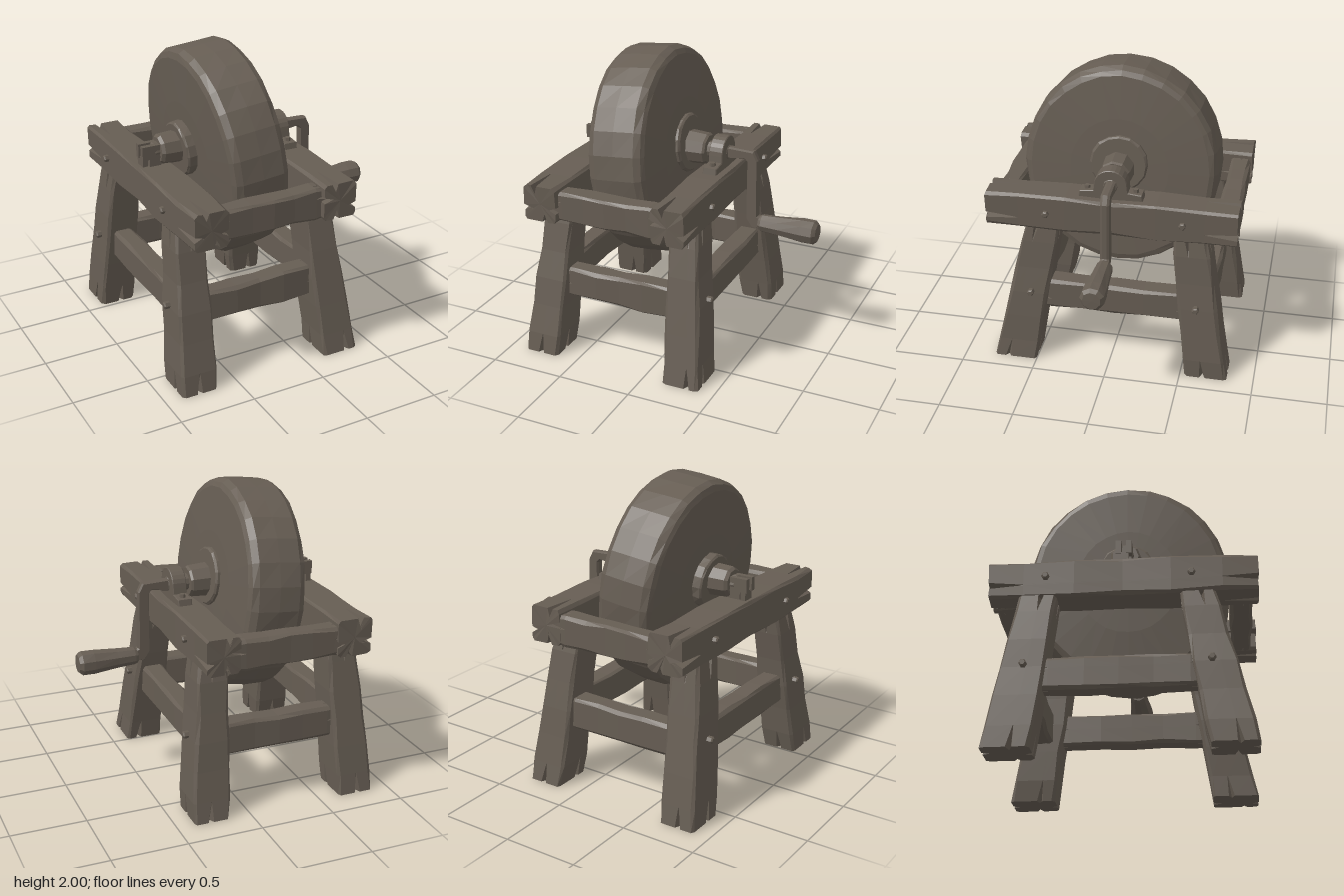
import * as THREE from 'three';

let seed = 7;
const rand = () => {
  seed = (seed * 16807) % 2147483647;
  return seed / 2147483647;
};
const jitter = (a) => (rand() * 2 - 1) * a;
const lerp = THREE.MathUtils.lerp;

// Faceted copy of a geometry
function flat(geo) {
  const g = geo.index ? geo.toNonIndexed() : geo;
  g.computeVertexNormals();
  return g;
}

// Hewn beam along an axis (0 x, 1 y, 2 z) with worn corners and split ends.
// p, q: end centres; sp, sq: [u, v] half sizes there, u and v being the next two axes in order.
function beamGeometry(axis, p, q, sp, sq, crack = 0.04, bevel = 0.018) {
  const rings = [0, 0.13, 0.32, 0.5, 0.68, 0.87, 1];
  const kU = (axis + 1) % 3, kV = (axis + 2) % 3;
  const offsets = [0, 1, 2, 3].map(() => jitter(0.4));
  const pos = [], index = [];
  const push = (t, u, v) => {
    const c = [];
    c[axis] = t; c[kU] = u; c[kV] = v;
    pos.push(...c);
  };
  const n = 20;
  for (const t of rings) {
    const end = t === 0 || t === 1;
    const hu = lerp(sp[0], sq[0], t) + jitter(0.006) - (end ? 0.004 : 0);
    const hv = lerp(sp[1], sq[1], t) + jitter(0.006) - (end ? 0.004 : 0);
    const cu = lerp(p[kU], q[kU], t), cv = lerp(p[kV], q[kV], t);
    for (let f = 0; f < 4; f++) {
      // each face in turn: corner, crack lip, crack floor, crack lip, corner
      const side = f % 2 ? hv : hu, half = f % 2 ? hu : hv;
      const b = bevel * (0.6 + 0.8 * rand());
      const depth = end ? crack * (0.5 + rand()) : 0;
      const w = end ? crack * 0.35 : 0.004, o = offsets[f] * half;
      const c = Math.round(Math.cos(f * Math.PI / 2)), s = Math.round(Math.sin(f * Math.PI / 2));
      for (const [d, e] of [[side, b - half], [side, o - w], [side - depth, o], [side, o + w], [side, half - b]])
        push(lerp(p[axis], q[axis], t) + (end && axis !== 1 ? jitter(0.006) : 0), cu + d * c - e * s, cv + d * s + e * c);
    }
  }
  for (let r = 0; r < rings.length - 1; r++)
    for (let j = 0; j < n; j++) {
      const a = r * n + j, b = r * n + (j + 1) % n;
      index.push(a, b, b + n, a, b + n, a + n);
    }
  const last = (rings.length - 1) * n, c0 = pos.length / 3;
  push(p[axis], p[kU], p[kV]);
  push(q[axis], q[kU], q[kV]);
  for (let j = 0; j < n; j++) {
    const k = (j + 1) % n;
    index.push(c0, k, j, c0 + 1, last + j, last + k);
  }
  const g = new THREE.BufferGeometry();
  g.setAttribute('position', new THREE.Float32BufferAttribute(pos, 3));
  g.setIndex(index);
  return flat(g);
}

// Turned shape about x from [x, radius] points, with uneven edges
function turned(points, sides, rough = 0) {
  const g = new THREE.LatheGeometry(points.map(([x, r]) => new THREE.Vector2(r, x)), sides);
  const n = points.length, at = g.attributes.position;
  const scale = Array.from({ length: sides * n }, () => 1 + jitter(rough));
  for (let i = 0; i < at.count; i++) {
    const k = scale[i % (sides * n)];
    at.setX(i, at.getX(i) * k);
    at.setZ(i, at.getZ(i) * k);
  }
  g.rotateZ(-Math.PI / 2);
  return flat(g);
}
const disc = (x0, x1, r, b = 0.012) => [[x0, 0], [x0, r - b], [x0 + b, r], [x1 - b, r], [x1, r - b], [x1, 0]];

export function createModel() {
  seed = 7;
  const model = new THREE.Group();
  model.name = 'grindstone';
  const mat = new THREE.MeshStandardMaterial({ color: 0x665d53 });
  mat.name = 'weatheredBrown';
  const add = (name, geo, parent = model) => {
    const m = new THREE.Mesh(geo, mat);
    m.name = name;
    parent.add(m);
    return m;
  };
  const box = (name, w, h, d, x, y, z) => add(name, flat(new THREE.BoxGeometry(w, h, d))).position.set(x, y, z);

  // Top frame
  add('leftTopRail', beamGeometry(2, [0.2, 1.125, -0.835], [0.2, 1.125, 0.825], [0.112, 0.122], [0.112, 0.122], 0.06));
  add('rightTopRail', beamGeometry(2, [-0.69, 1.125, -0.835], [-0.69, 1.125, 0.825], [0.118, 0.122], [0.118, 0.122], 0.06));
  add('frontTopRail', beamGeometry(0, [-0.66, 1.11, 0.72], [0.16, 1.11, 0.72], [0.1, 0.07], [0.1, 0.07]));
  add('backTopRail', beamGeometry(0, [-0.66, 1.11, -0.76], [0.16, 1.11, -0.76], [0.1, 0.07], [0.1, 0.07]));

  // Splayed legs
  for (const [side, footX, topX] of [['left', 0.265, 0.19], ['right', -0.765, -0.705]])
    for (const [end, footZ, topZ] of [['Front', 0.65, 0.45], ['Back', -0.675, -0.525]])
      add(side + end + 'Leg', beamGeometry(1, [footX, 0, footZ], [topX, 1.03, topZ], [0.145, 0.125], [0.115, 0.1], 0.055));

  // Lower stretchers
  add('frontStretcher', beamGeometry(0, [-0.72, 0.49, 0.56], [0.22, 0.49, 0.56], [0.105, 0.07], [0.105, 0.07]));
  add('backStretcher', beamGeometry(0, [-0.72, 0.49, -0.62], [0.22, 0.49, -0.62], [0.105, 0.07], [0.105, 0.07]));
  add('leftStretcher', beamGeometry(2, [0.225, 0.49, -0.6], [0.225, 0.49, 0.55], [0.07, 0.105], [0.07, 0.105]));
  add('rightStretcher', beamGeometry(2, [-0.735, 0.49, -0.6], [-0.735, 0.49, 0.55], [0.07, 0.105], [0.07, 0.105]));

  // Pegs through rails and legs
  const peg = turned(disc(-0.03, 0.03, 0.024, 0.008), 6);
  for (const [x, y, z] of [[0.31, 1.125, 0.42], [0.31, 1.135, -0.48], [-0.81, 1.125, 0.42], [-0.81, 1.135, -0.48],
    [0.35, 0.53, 0.53], [0.35, 0.53, -0.59], [-0.855, 0.53, 0.53], [-0.855, 0.53, -0.59]])
    add('peg', peg).position.set(x, y, z);

  // Leaning stone wheel, slightly domed, with side flanges
  const wheel = new THREE.Group();
  wheel.name = 'wheel';
  wheel.position.set(-0.245, 1.295, 0);
  wheel.rotation.z = 0.1;
  model.add(wheel);
  const rim = [[-0.215, 0], [-0.21, 0.35], [-0.195, 0.635], [-0.18, 0.67], [-0.14, 0.693], [0, 0.698],
    [0.14, 0.693], [0.18, 0.67], [0.195, 0.635], [0.21, 0.35], [0.215, 0]];
  add('stone', turned(rim, 28, 0.007), wheel).scale.z = 0.945;
  add('rightFlange', turned(disc(-0.275, -0.19, 0.18), 16, 0.02), wheel).position.y = 0.05;
  add('leftFlange', turned(disc(0.19, 0.24, 0.195), 16, 0.02), wheel).position.y = 0.045;

  // Axle and collars
  const axleY = 1.34;
  add('axle', turned(disc(-0.7, 0.26, 0.055), 10)).position.y = axleY;
  add('rightCollar', turned([[-0.66, 0], [-0.66, 0.085], [-0.64, 0.1], [-0.48, 0.108], [-0.48, 0]], 9)).position.y = axleY;
  add('leftCollar', turned([[-0.06, 0], [-0.06, 0.115], [0.105, 0.105], [0.12, 0.095], [0.12, 0]], 9)).position.y = axleY;

  // Forked axle stub resting on the right rail
  for (const z of [-0.033, 0.033]) box('axleFork', 0.12, 0.09, 0.035, -0.72, 1.345, z);
  box('axleStub', 0.07, 0.07, 0.05, -0.69, 1.335, 0);
  box('axleRest', 0.035, 0.07, 0.08, -0.755, 1.275, -0.01);
  box('axleChock', 0.08, 0.07, 0.09, -0.69, 1.27, 0);

  // Bearing strap on the left rail
  const strap = new THREE.Shape();
  strap.moveTo(-0.21, 1.235);
  strap.lineTo(0.21, 1.235);
  strap.lineTo(0.2, 1.285);
  strap.lineTo(0.11, 1.295);
  strap.absarc(0, axleY, 0.105, 0, Math.PI, false);
  strap.lineTo(-0.11, 1.295);
  strap.lineTo(-0.2, 1.285);
  const strapGeo = new THREE.ExtrudeGeometry(strap, {
    depth: 0.085, curveSegments: 6, bevelEnabled: true, bevelSize: 0.005, bevelThickness: 0.005, bevelSegments: 1 });
  strapGeo.rotateY(Math.PI / 2);
  add('bearingStrap', flat(strapGeo)).position.x = 0.165;
  for (const z of [-0.16, 0.16])
    add('strapScrew', flat(new THREE.CylinderGeometry(0.018, 0.022, 0.03, 6))).position.set(0.21, 1.3, z);

  // Bent crank
  const crank = new THREE.Shape([[0.24, 1.305], [0.375, 1.325], [0.398, 1.3], [0.398, 0.9], [0.435, 0.845], [0.5, 0.845],
    [0.5, 0.9], [0.465, 0.92], [0.458, 1.31], [0.43, 1.365], [0.24, 1.372]].map(([x, y]) => new THREE.Vector2(x, y)));
  const crankGeo = new THREE.ExtrudeGeometry(crank, {
    depth: 0.03, bevelEnabled: true, bevelSize: 0.008, bevelThickness: 0.015, bevelSegments: 1 });
  add('crank', flat(crankGeo)).position.z = -0.02;

  // Wooden handle
  const grip = turned([[0.48, 0], [0.48, 0.05], [0.5, 0.058], [0.62, 0.065], [0.78, 0.08], [0.86, 0.08], [0.883, 0.06], [0.885, 0]], 9, 0.02);
  add('handle', grip).position.set(0, 0.872, -0.008);

  return model;
}
